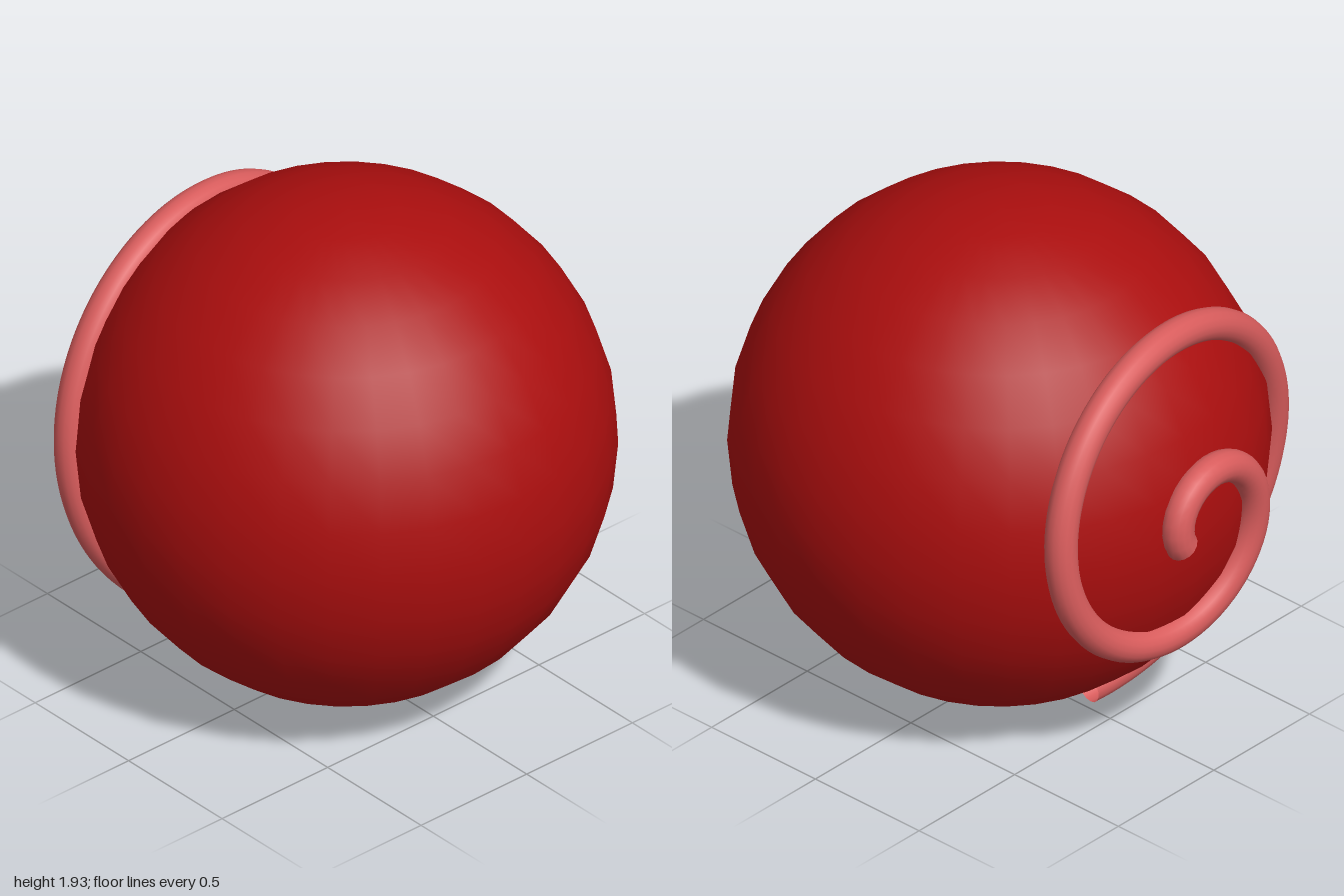
import * as THREE from 'three';

const RADIUS = 0.967;
const CENTRE = new THREE.Vector3(0, RADIUS, 0.033);

// Flat spiral on the back, laid onto the ball: t runs from the inner to the outer end
class BallSpiral extends THREE.Curve {
  getPoint(t, target = new THREE.Vector3()) {
    const quarter = -1 + 7 * t; // quarter turns counted from the top
    const angle = quarter * Math.PI / 2;
    const r = 0.1 + 0.78 * t;
    const shell = 0.978;
    return target.set(
      -r * Math.sin(angle),
      r * Math.cos(angle),
      -Math.sqrt(shell * shell - r * r)
    ).add(CENTRE);
  }
}

export function createModel() {
  const group = new THREE.Group();
  group.name = 'spiralBall';

  const deepRed = new THREE.MeshStandardMaterial({ color: 0xaa0e0e });
  deepRed.name = 'deep red';
  const softPink = new THREE.MeshStandardMaterial({ color: 0xd85c5c, side: THREE.DoubleSide });
  softPink.name = 'soft pink';

  // Ball
  const ball = new THREE.Mesh(new THREE.SphereGeometry(RADIUS, 32, 16), deepRed);
  ball.name = 'ball';
  ball.position.copy(CENTRE);
  group.add(ball);

  // Raised spiral cord, open at both ends
  const spiral = new THREE.Mesh(
    new THREE.TubeGeometry(new BallSpiral(), 160, 0.06, 16, false), softPink);
  spiral.name = 'spiralCord';
  group.add(spiral);

  return group;
}
